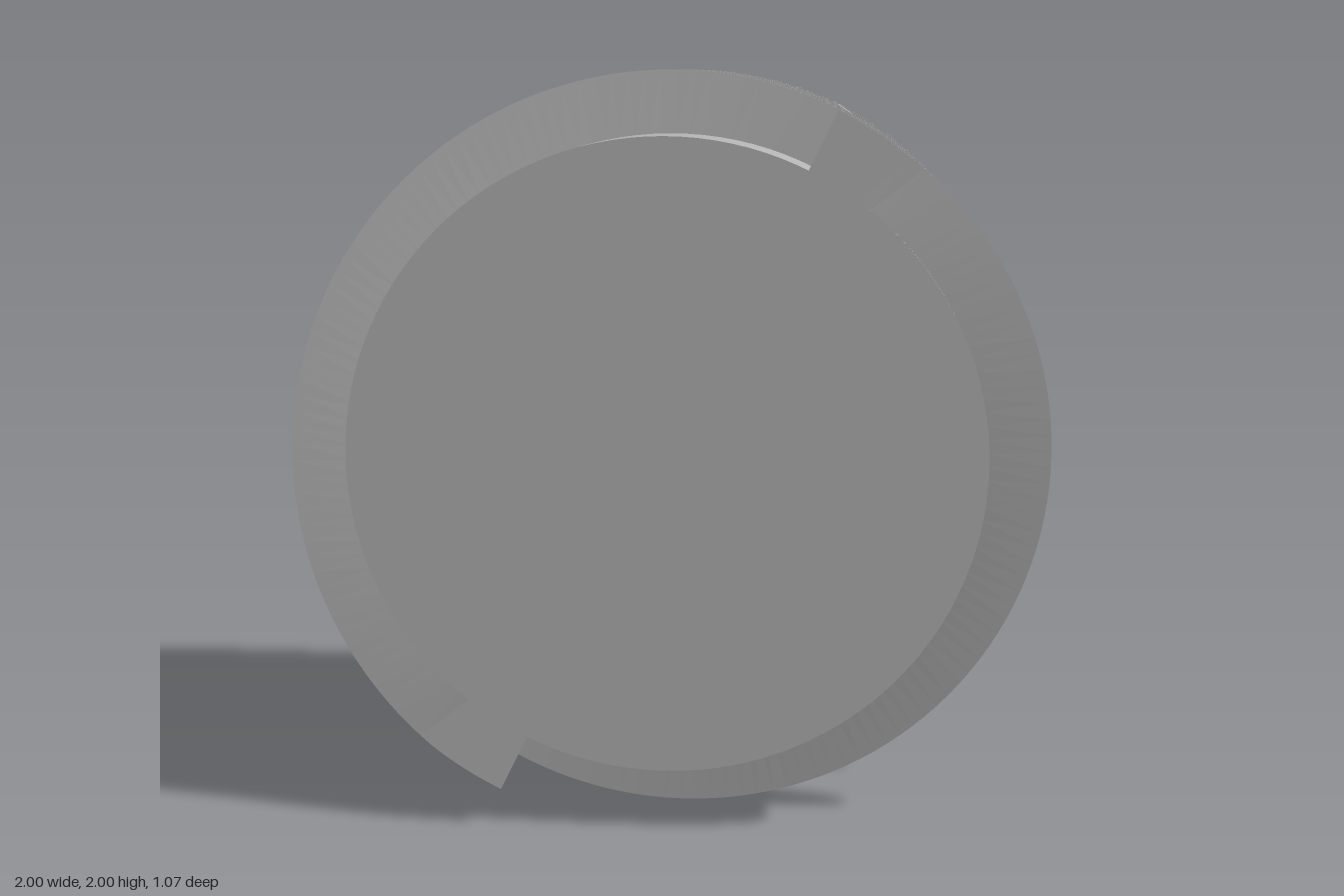
import * as THREE from 'three';

const RAD = Math.PI / 180;
const FRONT = 0.535, BACK = -0.535, FLOOR = -0.355;
const BODY_R = 0.835, POCKET_R = 0.81;
const ENTRY = 64; // angle in degrees where threads and stops begin

const at = (r, deg, z) => [r * Math.cos(deg * RAD), r * Math.sin(deg * RAD), z];

// Flat-shaded surface through rows of points
function loft(rows) {
  const pos = [], index = [], n = rows[0].length;
  rows.forEach((row) => row.forEach((p) => pos.push(...p)));
  for (let i = 0; i < rows.length - 1; i++) {
    for (let j = 0; j < n - 1; j++) {
      const a = i * n + j, b = a + n;
      index.push(a, b, a + 1, b, b + 1, a + 1);
    }
  }
  const g = new THREE.BufferGeometry();
  g.setAttribute('position', new THREE.Float32BufferAttribute(pos, 3));
  g.setIndex(index);
  const flat = g.toNonIndexed();
  flat.computeVertexNormals();
  return flat;
}

// Points along an arc whose radius may change from r0 to r1
function arc(r0, r1, a0, a1, n) {
  return Array.from({ length: n + 1 }, (_, i) => {
    const [x, y] = at(r0 + (r1 - r0) * i / n, a0 + (a1 - a0) * i / n, 0);
    return new THREE.Vector2(x, y);
  });
}

const plate = (points, depth) =>
  new THREE.ExtrudeGeometry(new THREE.Shape(points), { depth, bevelEnabled: false });

// Helical ridge: 1.5 turns, cut flush with the front face
function threadGeometry() {
  const section = [[0.83, -0.014], [1, -0.008], [1, 0.008], [0.83, 0.014], [0.83, -0.014]];
  const rows = [], steps = 216;
  for (let i = 0; i <= steps; i++) {
    const deg = ENTRY - 540 * i / steps;
    const z = 0.547 - 0.9 * i / steps;
    rows.push(section.map(([r, dz]) => at(r, deg, Math.min(FRONT, z + dz))));
  }
  rows.push(section.map(() => at(0.91, ENTRY - 540, -0.353))); // end cap
  return loft(rows);
}

// Fan-shaped ramp sinking from the back face to the pocket floor
function rampGeometry() {
  const rows = [], steps = 46;
  for (let i = 0; i <= steps; i++) {
    const deg = 180 - 138 * i / steps;
    const z = BACK + (FLOOR - BACK) * Math.min(1, (180 - deg) / 118);
    rows.push([at(0, deg, z), at(POCKET_R, deg, z)]);
  }
  return loft(rows);
}

export function createModel() {
  const grey = new THREE.MeshStandardMaterial({ color: 0xb3b3b3, side: THREE.DoubleSide });
  grey.name = 'plainGrey';
  const model = new THREE.Group();
  model.name = 'threadedPlug';
  const core = new THREE.Group();
  core.name = 'plug';
  core.position.y = 1;
  model.add(core);

  const add = (parent, name, geometry, z = 0) => {
    const mesh = new THREE.Mesh(geometry, grey);
    mesh.name = name;
    mesh.position.z = z;
    parent.add(mesh);
  };

  // Barrel and closed front
  const barrel = new THREE.CylinderGeometry(BODY_R, BODY_R, FRONT - BACK - 0.005, 120, 1, true);
  barrel.rotateX(Math.PI / 2);
  add(core, 'barrel', barrel, 0.0025);
  add(core, 'frontFace', new THREE.CircleGeometry(BODY_R, 120), FRONT);

  // Pocket outline: S-shaped grip edge, then the outer arc
  const gripEdge = new THREE.SplineCurve([
    [0, 0], [0.11, 0.11], [0.31, 0.32], [0.405, 0.56], [0.38, 0.715],
  ].map((p) => new THREE.Vector2(...p))).getPoints(28);
  const pocketEdge = [...gripEdge, ...arc(POCKET_R, POCKET_R, 62, 180, 48).slice(1)];

  const halfFlange = plate([...pocketEdge, ...arc(1, 1, 180, 0, 72)], 0.01);
  const pocketWall = loft(pocketEdge.map((p) => [[p.x, p.y, BACK], [p.x, p.y, FLOOR]]));
  const stop = plate([
    ...arc(1, BODY_R, ENTRY, -15, 32),
    ...arc(0.82, 0.82, -15, ENTRY, 32),
  ], 0.175);
  const thread = threadGeometry();
  const ramp = rampGeometry();

  // Every feature repeats after half a turn
  for (let k = 0; k < 2; k++) {
    const half = new THREE.Group();
    half.name = k ? 'secondHalf' : 'firstHalf';
    half.rotation.z = k * Math.PI;
    add(half, 'thread', thread);
    add(half, 'flange', halfFlange, BACK);
    add(half, 'spiralStop', stop, BACK + 0.005);
    add(half, 'pocketWall', pocketWall);
    add(half, 'pocketRamp', ramp);
    core.add(half);
  }
  return model;
}
